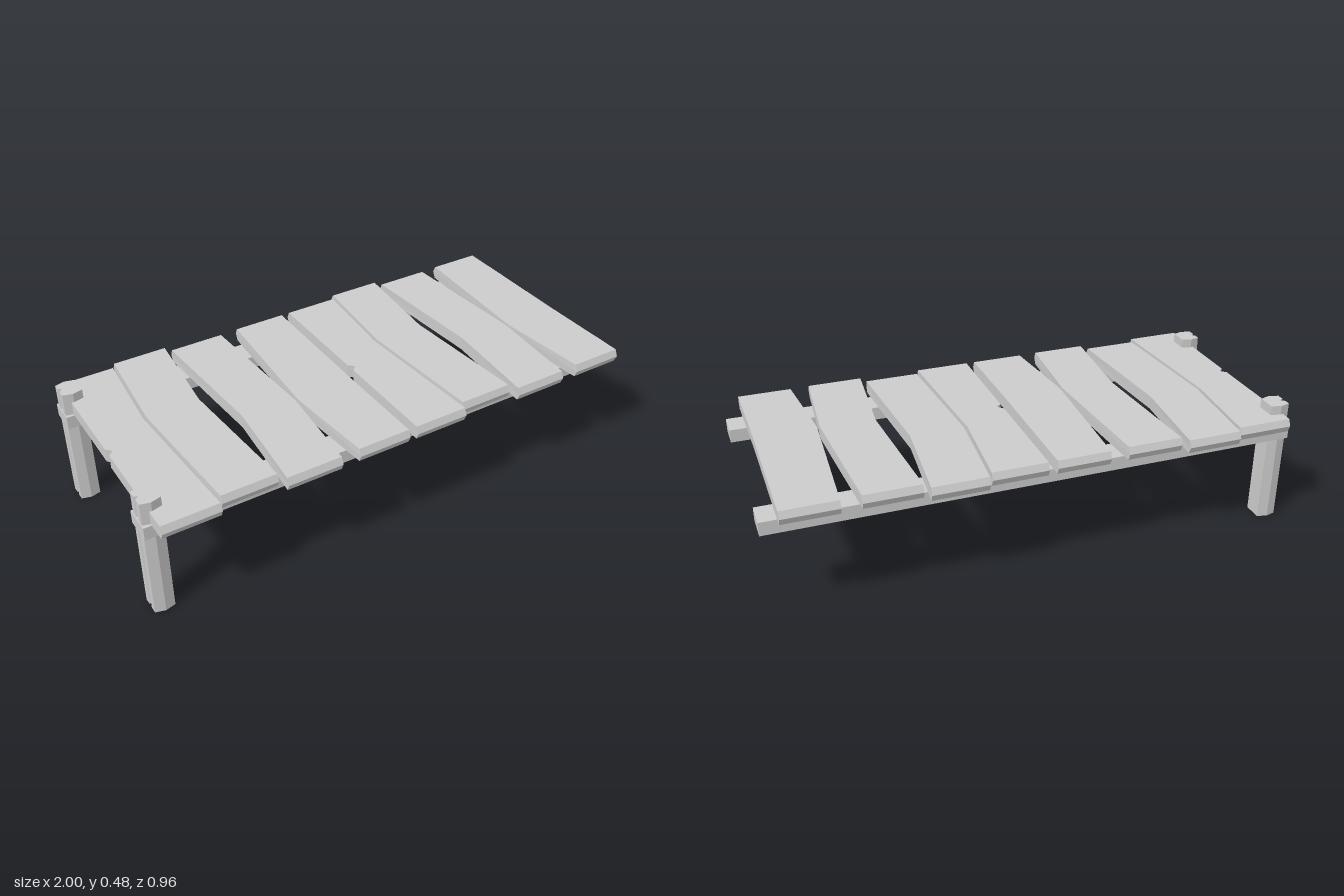
import * as THREE from 'three';

const material = new THREE.MeshStandardMaterial({ color: 0xcccccc, flatShading: true });

// Upright prism from an outline of [x, z] points, between two heights
function prism(outline, y0, y1, steps = 1) {
  const shape = new THREE.Shape(outline.map(([x, z]) => new THREE.Vector2(x, -z)));
  const geometry = new THREE.ExtrudeGeometry(shape, { depth: y1 - y0, steps, bevelEnabled: false });
  return geometry.rotateX(-Math.PI / 2).translate(0, y0, 0);
}

// Plank whose two ends are pointed: the top and bottom edges sit behind the middle ridge
function plankGeometry(outline) {
  const y0 = 0.395, y1 = 0.447, inset = 0.012;
  const geometry = prism(outline, y0, y1, 2);
  const zs = outline.map((p) => p[1]);
  const zMin = Math.min(...zs), zMax = Math.max(...zs);
  const pos = geometry.attributes.position;
  for (let i = 0; i < pos.count; i++) {
    if (Math.abs(pos.getY(i) - (y0 + y1) / 2) < 0.01) continue;
    const z = pos.getZ(i);
    if (z > zMax - 0.001) pos.setZ(i, z - inset);
    if (z < zMin + 0.001) pos.setZ(i, z + inset);
  }
  geometry.computeVertexNormals();
  return geometry;
}

export function createModel() {
  const model = new THREE.Group();
  model.name = 'plankDock';
  const add = (name, geometry, x = 0, y = 0, z = 0) => {
    const mesh = new THREE.Mesh(geometry, material);
    mesh.name = name;
    mesh.position.set(x, y, z);
    model.add(mesh);
  };

  // Two long rails, each with a post at the -x end
  const rail = new THREE.BoxGeometry(2, 0.051, 0.103);
  const post = prism([
    [0.038, 0.036], [0.038, -0.036], [0, -0.046], [-0.037, -0.036],
    [-0.037, -0.012], [-0.022, -0.002], [-0.037, 0.008], [-0.037, 0.036], [0, 0.046],
  ], 0, 0.483);
  for (const [side, z] of [['Front', 0.336], ['Back', -0.357]]) {
    add('rail' + side, rail, 0, 0.3695, z);
    add('post' + side, post, -0.96, 0, z);
  }

  // Four warped plank outlines, laid twice along the rails
  const outlines = [
    [[-0.97, -0.457], [-0.76, -0.457], [-0.79, -0.09], [-0.76, 0.473], [-0.97, 0.473],
      [-0.97, 0.047], [-0.95, 0.027], [-0.97, 0.007]],
    [[-0.745, -0.482], [-0.537, -0.482], [-0.572, -0.09], [-0.537, 0.441], [-0.745, 0.441], [-0.777, -0.09]],
    [[-0.52, -0.452], [-0.31, -0.452], [-0.28, 0.1], [-0.31, 0.477], [-0.52, 0.477], [-0.487, 0.08]],
    [[-0.237, -0.457], [-0.033, -0.457], [-0.036, 0.1], [-0.033, 0.473], [-0.237, 0.473], [-0.27, 0.1]],
  ];
  const planks = outlines.map(plankGeometry);
  for (let i = 0; i < 8; i++) add('plank' + (i + 1), planks[i % 4], i < 4 ? 0 : 0.97);

  return model;
}
